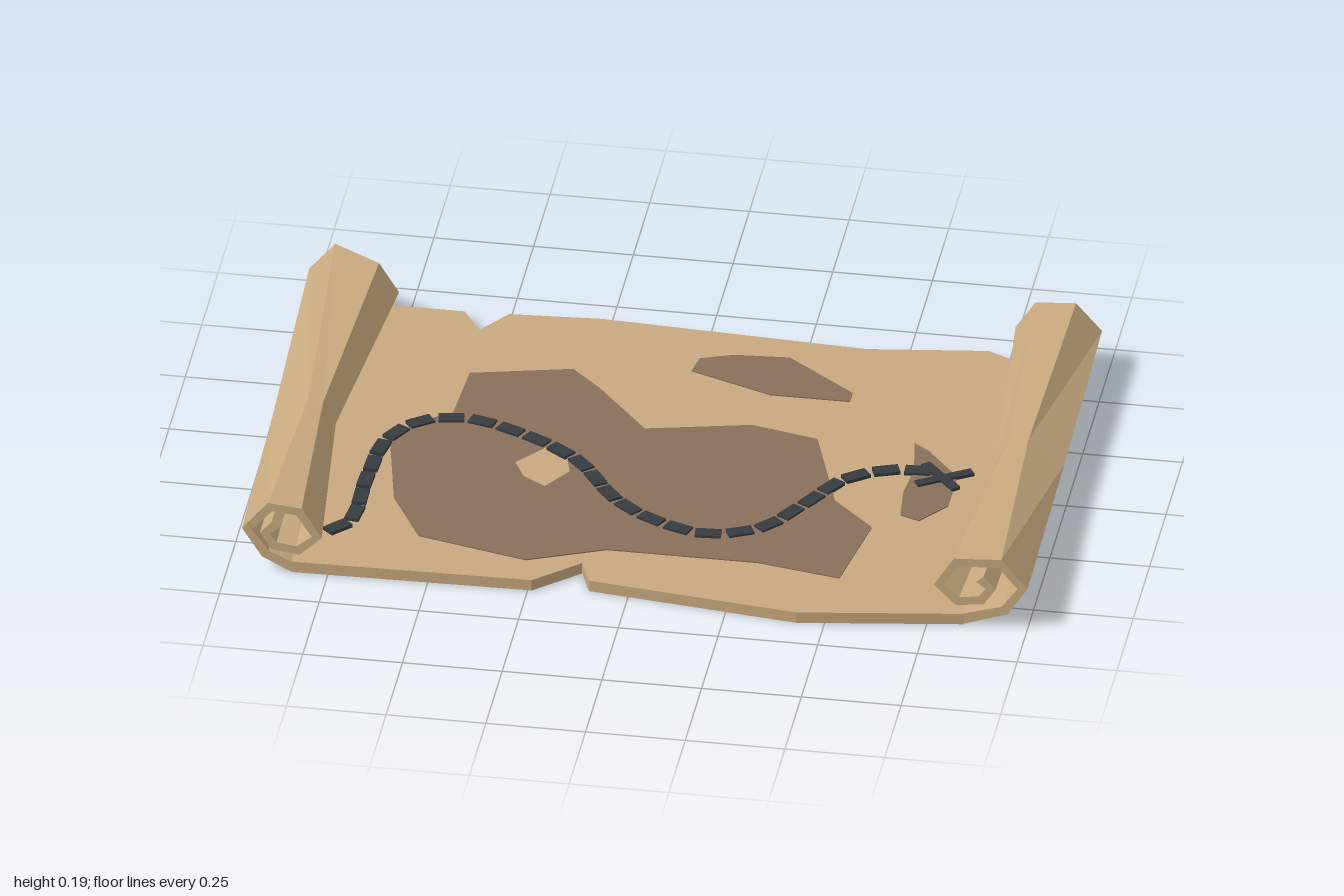
import * as THREE from 'three';

const material = (name, color, side = THREE.FrontSide) => {
  const m = new THREE.MeshStandardMaterial({ color, side });
  m.name = name;
  return m;
};

const BASE = 0.004, THICK = 0.03, TOP = BASE + THICK;

// Flat plate from an outline of [x, z] points, lying between y and y + depth
function plate(name, mat, points, y, depth, hole) {
  const toVectors = (list) => list.map(([x, z]) => new THREE.Vector2(x, -z));
  const shape = new THREE.Shape(toVectors(points));
  if (hole) shape.holes.push(new THREE.Path(toVectors(hole)));
  const geo = new THREE.ExtrudeGeometry(shape, { depth, bevelEnabled: false });
  geo.rotateX(-Math.PI / 2).translate(0, y, 0);
  const mesh = new THREE.Mesh(geo, mat);
  mesh.name = name;
  return mesh;
}

// Spiral profiles of the rolled paper, [distance from centre, height]
const END = [[0.84, BASE], [0.95, 0.042], [1, 0.12], [0.935, 0.198], [0.815, 0.19],
  [0.765, 0.11], [0.82, 0.056], [0.89, 0.065], [0.92, 0.11], [0.89, 0.145]];
const MID = [[0.84, BASE], [0.95, 0.04], [0.99, 0.105], [0.9, 0.167], [0.852, 0.163],
  [0.82, 0.105], [0.85, 0.056], [0.9, 0.062], [0.925, 0.095], [0.9, 0.125]];

// Gives a profile its paper thickness, returned as outer and inner points
function rollSection({ profile, z, shift = 0, rise = 1, tilt = 0 }) {
  const outer = profile.map(([u, y], i) =>
    new THREE.Vector3(u + (i > 0 && i < 4 ? shift : 0), i ? y * rise : y, i > 3 ? z + tilt : z));
  const inner = outer.map((p, i) => {
    if (i === 0) return new THREE.Vector3(p.x, TOP, p.z);
    const a = outer[i - 1], b = outer[Math.min(i + 1, outer.length - 1)];
    const d = new THREE.Vector2(b.x - a.x, b.y - a.y).normalize();
    return new THREE.Vector3(p.x - d.y * 0.025, p.y + d.x * 0.025, p.z);
  });
  return { outer, inner, ring: [...outer, ...inner.slice().reverse()] };
}

// Loft through sections ordered from back to front, closed at both ends
function roll(name, mat, side, specs) {
  const sections = specs.map(rollSection);
  const pos = [];
  const tri = (a, b, c) => {
    for (const p of side > 0 ? [a, b, c] : [a, c, b]) pos.push(p.x * side, p.y, p.z);
  };
  const quad = (a, b, c, d) => { tri(a, b, c); tri(a, c, d); };
  for (let s = 0; s + 1 < sections.length; s++) {
    const back = sections[s].ring, front = sections[s + 1].ring;
    for (let j = 0; j + 1 < back.length; j++) quad(back[j], back[j + 1], front[j + 1], front[j]);
  }
  const first = sections[0], last = sections[sections.length - 1];
  for (let i = 0; i + 1 < END.length; i++) {
    quad(last.outer[i], last.outer[i + 1], last.inner[i + 1], last.inner[i]);
    quad(first.outer[i], first.inner[i], first.inner[i + 1], first.outer[i + 1]);
  }
  const geo = new THREE.BufferGeometry();
  geo.setAttribute('position', new THREE.Float32BufferAttribute(pos, 3));
  geo.computeVertexNormals();
  const mesh = new THREE.Mesh(geo, mat);
  mesh.name = name;
  return mesh;
}

export function createModel() {
  const paper = material('parchment', 0xc8a97f, THREE.DoubleSide);
  const land = material('land brown', 0x8a6f5a);
  const ink = material('ink', 0x363b40);
  const model = new THREE.Group();
  model.name = 'treasureMap';

  // Torn sheet with a notch in the front and back edges
  model.add(plate('sheet', paper, [
    [-0.84, -0.62], [-0.61, -0.62], [-0.56, -0.54], [-0.5, -0.625], [-0.27, -0.64],
    [0.4, -0.605], [0.7, -0.645], [0.77, -0.61], [0.84, -0.655], [0.84, 0.595], [0.43, 0.655],
    [-0.1, 0.59], [-0.13, 0.51], [-0.24, 0.61], [-0.84, 0.62]], BASE, THICK));

  // Rolled ends, pinched in the middle
  model.add(roll('rightRoll', paper, -1, [
    { profile: END, z: -0.62, tilt: 0.06 },
    { profile: MID, z: 0.07, shift: -0.01 },
    { profile: END, z: 0.62, shift: -0.035 }]));
  model.add(roll('leftRoll', paper, 1, [
    { profile: END, z: -0.655, shift: -0.018, rise: 0.95 },
    { profile: MID, z: -0.03 },
    { profile: END, z: 0.592 }]));

  // Land areas, the largest with a lake
  model.add(plate('mainLand', land, [
    [-0.55, -0.33], [-0.3, -0.39], [-0.22, -0.31], [-0.08, -0.14], [0.18, -0.2], [0.35, -0.16],
    [0.44, 0.12], [0.55, 0.23], [0.51, 0.48], [0.3, 0.44], [-0.08, 0.44], [-0.27, 0.52],
    [-0.55, 0.45], [-0.64, 0.28], [-0.69, 0.03], [-0.64, -0.08], [-0.56, -0.14]], TOP, 0.003,
  [[-0.3, -0.02], [-0.25, 0.02], [-0.23, 0.09], [-0.28, 0.17], [-0.34, 0.13], [-0.37, 0.07]]));
  model.add(plate('northIsland', land, [
    [0, -0.49], [0.08, -0.52], [0.22, -0.53], [0.4, -0.39], [0.4, -0.35], [0.2, -0.35],
    [-0.01, -0.43]], TOP, 0.003));
  model.add(plate('eastIsland', land, [
    [0.59, -0.18], [0.63, -0.15], [0.72, -0.04], [0.72, 0.1], [0.66, 0.18], [0.61, 0.16],
    [0.6, 0.05], [0.61, -0.05]], TOP, 0.003));

  // Ink stroke centred on a point, running along a direction in the sheet
  const stroke = (name, x, z, dx, dz, length, width) => {
    const mesh = new THREE.Mesh(new THREE.BoxGeometry(length, 0.009, width), ink);
    mesh.name = name;
    mesh.position.set(x, TOP + 0.0045, z);
    mesh.rotation.y = Math.atan2(-dz, dx);
    return mesh;
  };

  // Dashed route
  const route = new THREE.CatmullRomCurve3([
    [-0.78, 0.475], [-0.73, 0.41], [-0.72, 0.2], [-0.7, 0.02], [-0.63, -0.08], [-0.52, -0.11],
    [-0.35, -0.05], [-0.22, 0.04], [-0.1, 0.2], [0, 0.28], [0.15, 0.33], [0.28, 0.28],
    [0.37, 0.15], [0.45, 0.02], [0.55, -0.04], [0.66, -0.05],
  ].map(([x, z]) => new THREE.Vector3(x, 0, z)));
  const trail = new THREE.Group();
  trail.name = 'dashedRoute';
  const count = 28, step = route.getLength() / count;
  for (let i = 0; i < count; i++) {
    const t = (i + 0.5) / count;
    const p = route.getPointAt(t), d = route.getTangentAt(t);
    trail.add(stroke('dash', p.x, p.z, d.x, d.z, step * 0.82, 0.036));
  }
  model.add(trail);

  // Cross at the end of the route
  const cross = new THREE.Group();
  cross.name = 'crossMark';
  cross.add(stroke('crossStroke', 0.68, -0.03, 0.09, 0.1, 0.14, 0.025));
  cross.add(stroke('crossStroke', 0.69, -0.025, 0.13, -0.08, 0.15, 0.025));
  model.add(cross);

  return model;
}
